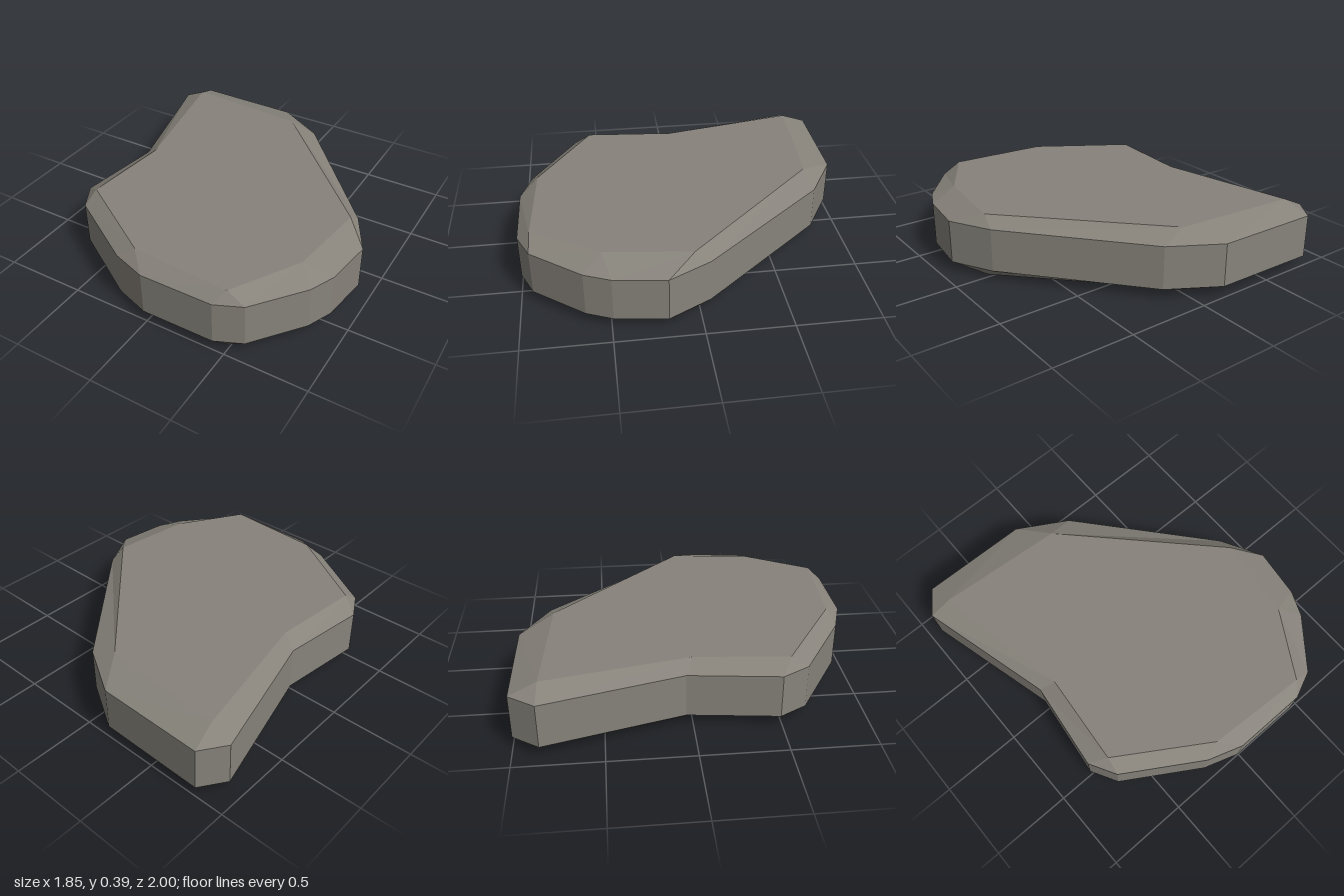
import * as THREE from 'three';

// Widest outline of the slab (x, z)
const OUTER = [
  [-0.82, -1], [-0.16, -0.99], [0.14, -0.815], [0.79, -0.06], [0.925, 0.19],
  [0.885, 0.49], [0.82, 0.64], [0.59, 0.93], [0.43, 1], [-0.02, 1],
  [-0.23, 0.93], [-0.685, 0.65], [-0.775, 0.49], [-0.71, -0.04], [-0.925, -0.85],
];
// Flat face outline (x, z), and the flat-face corner each outer corner slopes up to
const INNER = [
  [-0.79, -0.84], [-0.02, -0.785], [0.775, 0.03], [0.715, 0.53],
  [0.48, 0.925], [-0.13, 0.89], [-0.67, 0.55], [-0.62, 0],
];
const CORNER = [0, 1, 1, 2, 2, 3, 3, 4, 4, 5, 5, 6, 6, 7, 0];

const HEIGHT = 0.39;
const BEVEL = 0.063;

const at = ([x, z], y) => new THREE.Vector3(x, y, z);

function flatGeometry(triangles) {
  const geometry = new THREE.BufferGeometry().setFromPoints(triangles.flat());
  geometry.computeVertexNormals();
  return geometry;
}

// Bevel ring plus flat face; side is +1 for the top and -1 for the bottom
function capGeometry(side) {
  const faceY = side > 0 ? HEIGHT : 0;
  const rimY = side > 0 ? HEIGHT - BEVEL : BEVEL;
  const triangles = [];
  const add = (a, b, c) => {
    const normalY = b.clone().sub(a).cross(c.clone().sub(a)).y;
    triangles.push(normalY * side > 0 ? [a, b, c] : [a, c, b]);
  };
  OUTER.forEach((p, i) => {
    const j = (i + 1) % OUTER.length;
    const here = at(INNER[CORNER[i]], faceY);
    const next = at(INNER[CORNER[j]], faceY);
    add(at(p, rimY), at(OUTER[j], rimY), here);
    if (CORNER[i] !== CORNER[j]) add(at(OUTER[j], rimY), next, here);
  });
  const contour = INNER.map(([x, z]) => new THREE.Vector2(x, z));
  for (const face of THREE.ShapeUtils.triangulateShape(contour, [])) {
    add(...face.map((k) => at(INNER[k], faceY)));
  }
  return flatGeometry(triangles);
}

// Upright wall between the two bevels
function wallGeometry() {
  const low = BEVEL, high = HEIGHT - BEVEL;
  return flatGeometry(OUTER.flatMap((p, i) => {
    const q = OUTER[(i + 1) % OUTER.length];
    return [
      [at(p, high), at(q, high), at(p, low)],
      [at(q, high), at(q, low), at(p, low)],
    ];
  }));
}

export function createModel() {
  const stone = new THREE.MeshStandardMaterial({ color: 0x87837b });
  stone.name = 'stone grey';
  stone.flatShading = true;

  const group = new THREE.Group();
  group.name = 'steppingStone';
  const parts = { stoneTop: capGeometry(1), stoneWall: wallGeometry(), stoneBottom: capGeometry(-1) };
  for (const [name, geometry] of Object.entries(parts)) {
    const mesh = new THREE.Mesh(geometry, stone);
    mesh.name = name;
    group.add(mesh);
  }
  return group;
}
